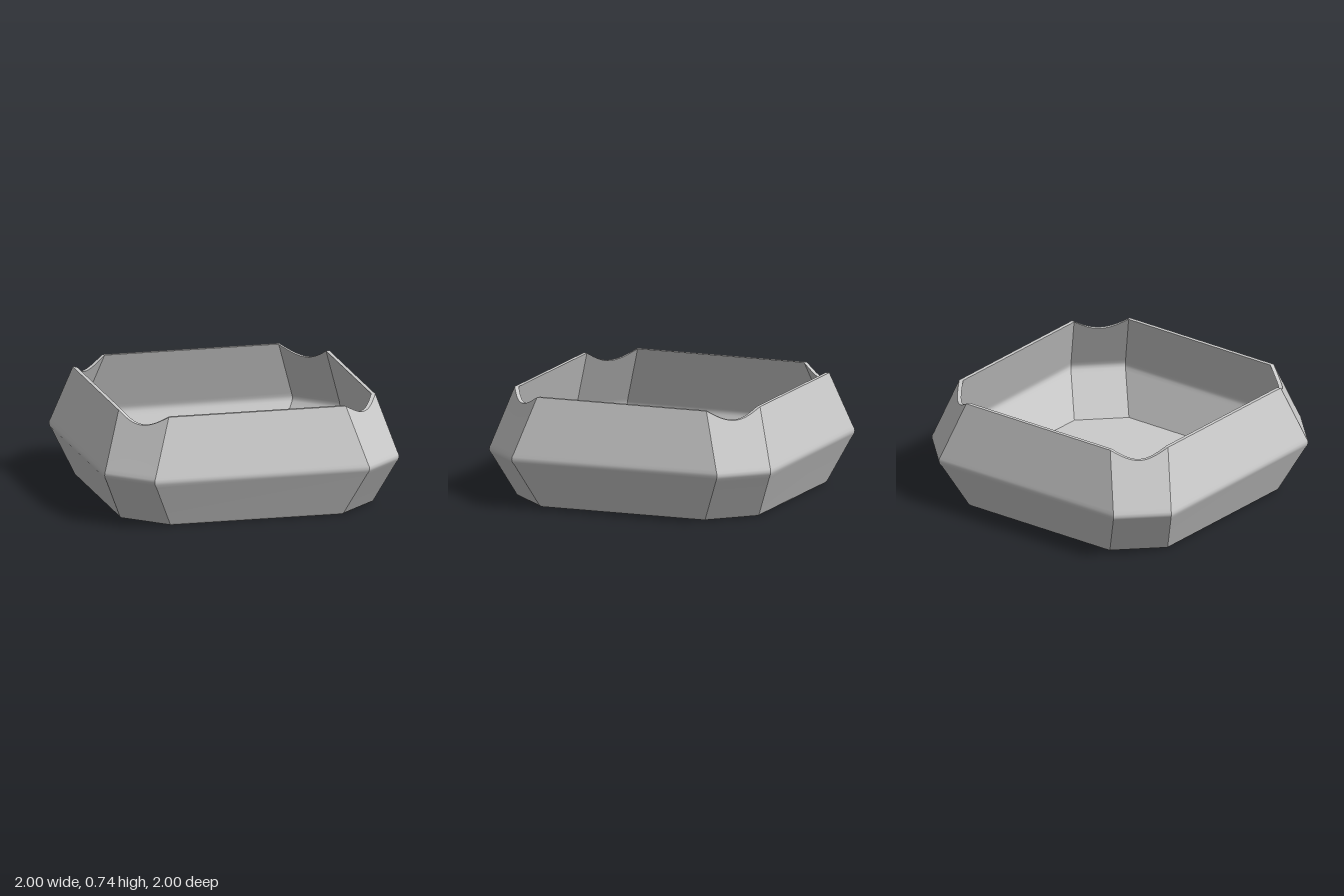
import * as THREE from 'three';

const TOP = 0.735, DIP = 0.07;
const OUTER_CUT = 0.27, INNER_CUT = 0.255;

// Wall profiles as [half width, height], each band smooth along its own height
const BEVEL = [[0.848, 0], [0.858, 0.01]];
const OUTER = [[0.858, 0.01], [0.982, 0.29], [0.994, 0.312], [0.998, 0.33], [0.996, 0.348], [0.988, 0.37], [0.87, TOP]];
const INNER = [[0.845, TOP], [0.962, 0.37], [0.969, 0.348], [0.971, 0.33], [0.967, 0.312], [0.956, 0.29], [0.834, 0.035]];

const material = new THREE.MeshStandardMaterial({ color: 0xcccccc });

// Lowers a rim point along the sloping wall to form the corner rests
function lowerRim([h, y], drop, neighbour) {
  if (y < TOP) return [h, y];
  const k = drop / (y - neighbour[1]);
  return [h + (neighbour[0] - h) * k, y - drop];
}

// One side of the octagon: columns along the side, rows along the profile
function panel(rowsAt, isCorner) {
  const columns = isCorner ? 24 : 1;
  const positions = [], index = [];
  let rows = 0;
  for (let i = 0; i <= columns; i++) {
    const t = i / columns;
    const profile = rowsAt(isCorner ? DIP * Math.sin(Math.PI * t) : 0);
    rows = profile.length;
    for (const [h, y, cut] of profile) {
      const e = h - cut;
      if (isCorner) positions.push(e + cut * t, y, h - cut * t);
      else positions.push(e * (2 * t - 1), y, h);
    }
  }
  for (let i = 0; i < columns; i++) {
    for (let j = 0; j < rows - 1; j++) {
      const a = i * rows + j, b = a + rows;
      index.push(a, b, b + 1, a, b + 1, a + 1);
    }
  }
  const geometry = new THREE.BufferGeometry();
  geometry.setAttribute('position', new THREE.Float32BufferAttribute(positions, 3));
  geometry.setIndex(index);
  geometry.computeVertexNormals();
  return geometry;
}

// Flat octagonal plate facing up or down
function plate(name, h, cut, y, facing) {
  const e = h - cut;
  const shape = new THREE.Shape([
    [e, -h], [h, -e], [h, e], [e, h], [-e, h], [-h, e], [-h, -e], [-e, -h],
  ].map(([x, z]) => new THREE.Vector2(x, z)));
  const mesh = new THREE.Mesh(new THREE.ShapeGeometry(shape), material);
  mesh.rotation.x = -facing * Math.PI / 2;
  mesh.position.y = y;
  mesh.name = name;
  return mesh;
}

export function createModel() {
  const model = new THREE.Group();
  model.name = 'octagonalTray';

  const outerRows = (d) => OUTER.map((p) => [...lowerRim(p, d, OUTER[OUTER.length - 2]), OUTER_CUT]);
  const innerRows = (d) => INNER.map((p) => [...lowerRim(p, d, INNER[1]), INNER_CUT]);
  const bands = {
    baseBevel: () => BEVEL.map((p) => [...p, OUTER_CUT]),
    outerWall: outerRows,
    rim: (d) => [outerRows(d).at(-1), innerRows(d)[0]],
    innerWall: innerRows,
  };

  // Four straight sides and four notched corners for every band
  for (const [name, rowsAt] of Object.entries(bands)) {
    const group = new THREE.Group();
    group.name = name;
    for (const isCorner of [false, true]) {
      const geometry = panel(rowsAt, isCorner);
      for (let k = 0; k < 4; k++) {
        const mesh = new THREE.Mesh(geometry, material);
        mesh.name = name + (isCorner ? 'Corner' : 'Side');
        mesh.rotation.y = k * Math.PI / 2;
        group.add(mesh);
      }
    }
    model.add(group);
  }

  // Inside floor and underside
  model.add(plate('floor', 0.834, INNER_CUT, 0.035, 1));
  model.add(plate('underside', 0.848, OUTER_CUT, 0, -1));
  return model;
}
